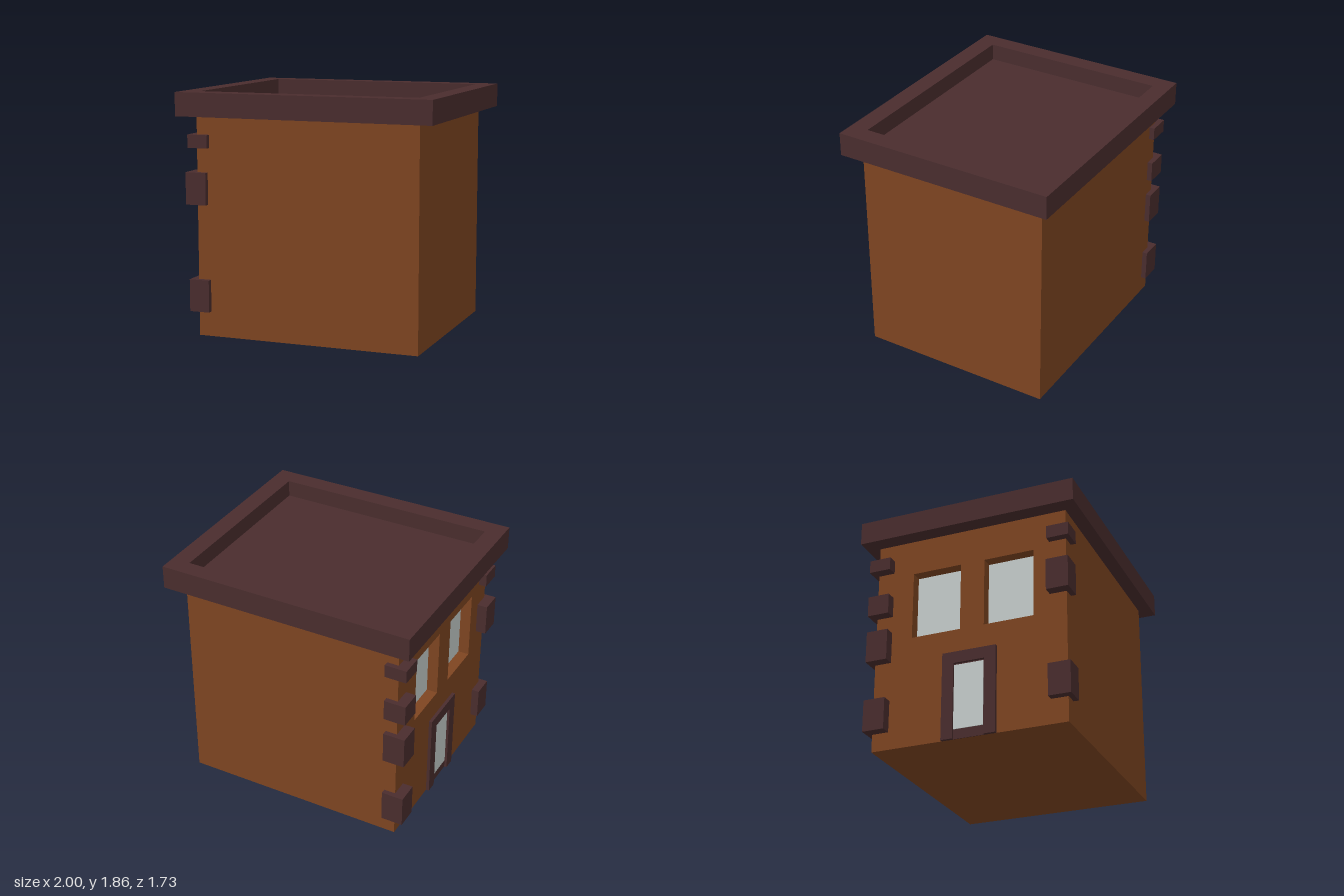
import * as THREE from 'three';

export function createModel() {
  const group = new THREE.Group();
  const material = (name, color) => {
    const m = new THREE.MeshStandardMaterial({ color });
    m.name = name;
    return m;
  };
  const wall = material('brown wall', 0x7f4521);
  const trim = material('dark trim', 0x4a2d2e);
  const glass = material('pale glass', 0xc8d0ce);

  const add = (name, geometry, mat) => {
    const mesh = new THREE.Mesh(geometry, mat);
    mesh.name = name;
    group.add(mesh);
    return mesh;
  };
  // Box given by its minimum and maximum corners
  const box = (name, mat, [x0, y0, z0], [x1, y1, z1]) => {
    const g = new THREE.BoxGeometry(x1 - x0, y1 - y0, z1 - z0);
    g.translate((x0 + x1) / 2, (y0 + y1) / 2, (z0 + z1) / 2);
    return add(name, g, mat);
  };
  // Rectangle outline, usable as a shape or a hole
  const rect = (Type, u0, v0, u1, v1) => {
    const p = new Type();
    p.moveTo(u0, v0);
    p.lineTo(u1, v0);
    p.lineTo(u1, v1);
    p.lineTo(u0, v1);
    p.closePath();
    return p;
  };

  // Main block, with a thick facade on the -x side pierced by two windows
  const outer = -0.875, inner = -0.785;
  box('building', wall, [inner, 0, -0.76], [0.875, 1.68, 0.76]);
  const facade = rect(THREE.Shape, -0.76, 0, 0.76, 1.68);
  const windows = [[-0.465, -0.075], [0.115, 0.505]];
  for (const [z0, z1] of windows) {
    facade.holes.push(rect(THREE.Path, z0, 0.865, z1, 1.4));
    box('windowPane', glass, [inner - 0.005, 0.865, z0], [inner, 1.4, z1]);
  }
  const facadeGeo = new THREE.ExtrudeGeometry(facade, { depth: inner - outer, bevelEnabled: false });
  facadeGeo.rotateY(-Math.PI / 2).translate(inner, 0, 0);
  add('facade', facadeGeo, wall);

  // Doorway: jambs, lintel, door leaf and its glass
  box('doorJamb', trim, [-0.9, 0, -0.2], [outer, 0.675, -0.11]);
  box('doorJamb', trim, [-0.9, 0, 0.13], [outer, 0.675, 0.22]);
  box('doorLintel', trim, [-0.9, 0.585, -0.11], [outer, 0.675, 0.13]);
  box('doorLeaf', trim, [-0.88, 0, -0.11], [outer, 0.585, 0.13]);
  box('doorGlass', glass, [-0.885, 0.075, -0.11], [-0.88, 0.575, 0.12]);

  // Corner stones: [bottom, top, outer x, inner x]
  const frontStones = [[0.19, 0.437, -0.935, -0.775], [1.01, 1.255, -0.955, -0.79], [1.44, 1.54, -0.935, -0.775]];
  const backStones = [[0.137, 0.383], [0.69, 0.935], [1.07, 1.23], [1.44, 1.54]];
  for (const [y0, y1, x0, x1] of frontStones) {
    box('cornerStone', trim, [x0, y0, 0.63], [x1, y1, 0.8]);
  }
  for (const [y0, y1] of backStones) {
    box('cornerStone', trim, [-0.955, y0, -0.8], [-0.785, y1, -0.63]);
  }

  // Flat roof with a raised parapet
  const parapet = rect(THREE.Shape, -1, -0.865, 1, 0.865);
  parapet.holes.push(rect(THREE.Path, -0.86, -0.72, 0.855, 0.73));
  const parapetGeo = new THREE.ExtrudeGeometry(parapet, { depth: 0.18, bevelEnabled: false });
  parapetGeo.rotateX(-Math.PI / 2).translate(0, 1.68, 0);
  add('parapet', parapetGeo, trim);
  box('roofDeck', trim, [-0.86, 1.68, -0.73], [0.855, 1.73, 0.72]);

  return group;
}
